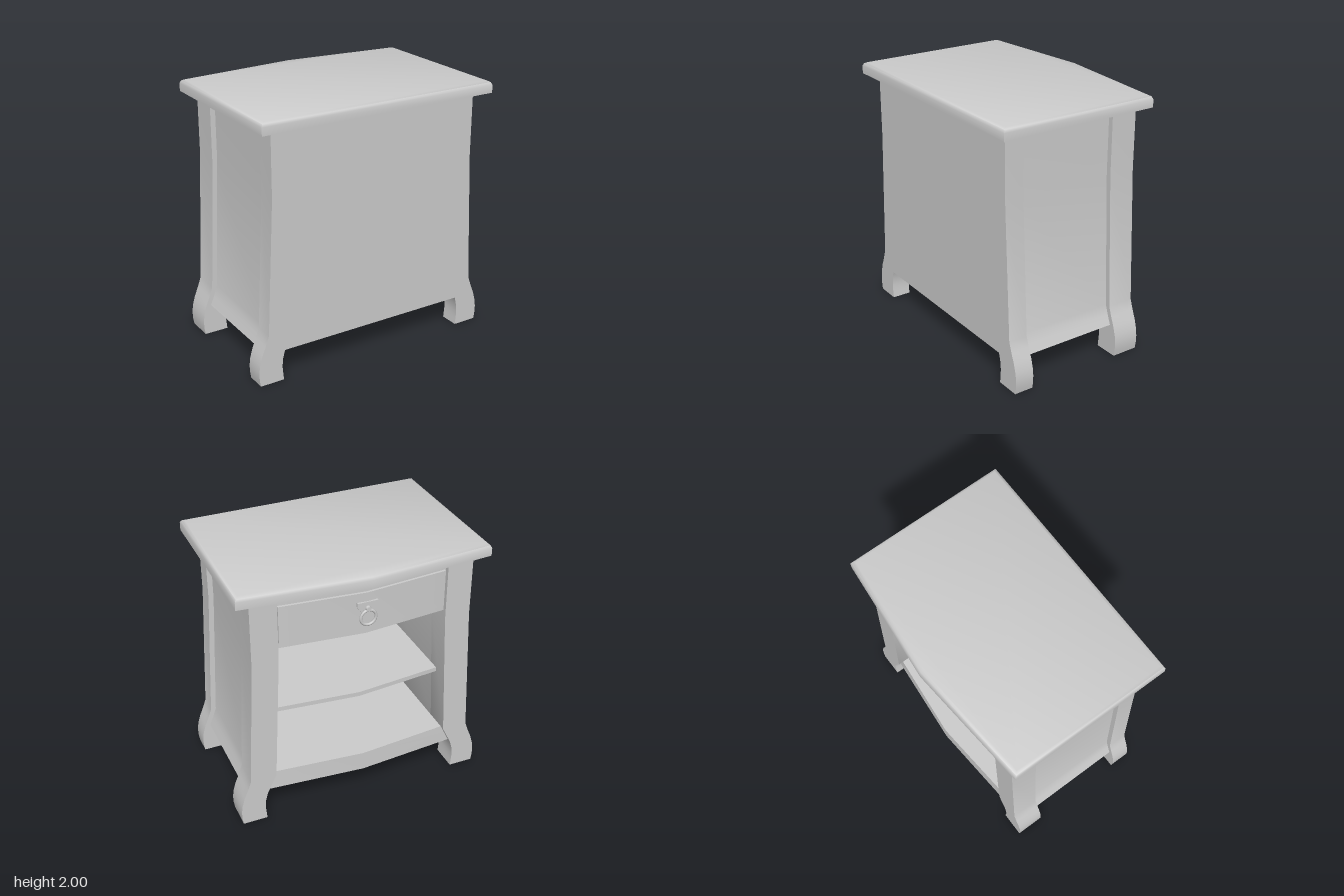
import * as THREE from 'three';
import { toCreasedNormals } from 'three/addons/utils/BufferGeometryUtils.js';

const material = new THREE.MeshStandardMaterial({ color: 0xcccccc, side: THREE.DoubleSide });

// Skin a stack of equal rings (lists of [x, y, z]), bottom to top
function loft(rings, { top = true, bottom = true, crease = 0.6 } = {}) {
  const n = rings[0].length;
  const index = [];
  for (let r = 0; r < rings.length - 1; r++) {
    for (let i = 0; i < n; i++) {
      const a = r * n + i, b = r * n + (i + 1) % n;
      index.push(a, a + n, b + n, a, b + n, b);
    }
  }
  const last = (rings.length - 1) * n;
  for (let i = 1; i < n - 1; i++) {
    if (top) index.push(last, last + i + 1, last + i);
    if (bottom) index.push(0, i, i + 1);
  }
  const geometry = new THREE.BufferGeometry();
  geometry.setAttribute('position', new THREE.Float32BufferAttribute(rings.flat(2), 3));
  geometry.setIndex(index);
  return toCreasedNormals(geometry, crease);
}

// Side outline of the case: [y, outer x, inner x]
const outline = [
  [0, 0.975, 0.785], [0.05, 0.983, 0.79], [0.11, 0.985, 0.795], [0.17, 0.977, 0.79],
  [0.24, 0.957, 0.772], [0.31, 0.928, 0.738], [0.39, 0.9, 0.7], [1.42, 0.85, 0.65], [1.91, 0.85, 0.65],
];
const upper = outline.filter(([y]) => y >= 0.24);

// Upright with a rectangular section following the outline on one side
function upright(points, side, z0, z1, inset, bottom) {
  const rings = points.map(([y, outer, inner]) => {
    const o = side * (outer - inset), i = side * inner;
    const ring = [[i, y, z0], [o, y, z0], [o, y, z1], [i, y, z1]];
    return side > 0 ? ring : ring.reverse();
  });
  return loft(rings, { bottom });
}

// Ring with a bowed edge towards -z
const bowedRing = (y, half, zEnd, zMid, zBack) => [
  [-half, y, zEnd], [0, y, zMid], [half, y, zEnd], [half, y, zBack], [-half, y, zBack],
];
const bowedBoard = (y0, y1, half, zEnd, zMid, zBack, half0 = half) =>
  loft([bowedRing(y0, half0, zEnd, zMid, zBack), bowedRing(y1, half, zEnd, zMid, zBack)]);

export function createModel() {
  const model = new THREE.Group();
  const add = (name, geometry, parent = model) => {
    const mesh = new THREE.Mesh(geometry, material);
    mesh.name = name;
    parent.add(mesh);
    return mesh;
  };

  // Table top with a bevelled upper edge
  add('tableTop', loft([
    bowedRing(1.91, 0.96, -0.59, -0.675, 0.675),
    bowedRing(1.97, 0.96, -0.59, -0.675, 0.675),
    bowedRing(1.99, 0.95, -0.58, -0.665, 0.665),
    bowedRing(2, 0.93, -0.56, -0.645, 0.645),
  ], { crease: 1.2 }));

  // Curved legs, open underneath, and the recessed sides between them
  for (const side of [1, -1]) {
    const hand = side > 0 ? 'left' : 'right';
    add(hand + 'DrawerSideLeg', upright(outline, side, -0.53, -0.32, 0, false));
    add(hand + 'PanelSideLeg', upright(outline, side, 0.44, 0.59, 0, false));
    add(hand + 'SidePanel', upright(upper, side, -0.32, 0.44, 0.04, true));
  }

  // Closed panel, flush with the legs
  add('closedPanel', loft(upper.map(([y, , x]) =>
    [[-x, y, 0.55], [x, y, 0.55], [x, y, 0.59], [-x, y, 0.59]])));

  // Shelves and the apron below the lowest one
  add('bottomShelf', bowedBoard(0.36, 0.39, 0.7, -0.49, -0.553, 0.55));
  add('middleShelf', bowedBoard(0.87, 0.905, 0.676, -0.4, -0.465, 0.55));
  const apronRing = (y, half) => [
    [-half, y, -0.492], [0, y, -0.555], [half, y, -0.492],
    [half, y, -0.46], [0, y, -0.523], [-half, y, -0.46],
  ];
  const apronRings = [apronRing(0.24, 0.772), apronRing(0.31, 0.738), apronRing(0.39, 0.7)];
  add('apron', loft(apronRings, { top: false, bottom: false }));
  // Underside of the apron as a bent strip
  const [a, b, c, d, e, f] = apronRings[0];
  const strip = new THREE.BufferGeometry();
  strip.setAttribute('position', new THREE.Float32BufferAttribute([a, b, e, a, e, f, b, c, d, b, d, e].flat(), 3));
  strip.computeVertexNormals();
  add('apronUnderside', strip);

  // Drawer case and raised drawer face
  add('drawerCase', bowedBoard(1.48, 1.91, 0.65, -0.495, -0.555, 0.55));
  add('drawerFace', bowedBoard(1.53, 1.82, 0.64, -0.515, -0.573, -0.4));

  // Drawer pull: plate, knob and hanging ring
  const pull = new THREE.Group();
  pull.name = 'drawerPull';
  pull.position.set(0, 1.7, -0.573);
  model.add(pull);
  const plate = new THREE.Shape([
    [-0.08, 0.05], [-0.08, 0.02], [-0.045, -0.04], [0.045, -0.04], [0.08, 0.02], [0.08, 0.05],
  ].map(([x, y]) => new THREE.Vector2(x, y)));
  add('pullPlate', new THREE.ExtrudeGeometry(plate, { depth: 0.02, bevelEnabled: false }), pull).position.z = -0.01;
  const knob = add('pullKnob', new THREE.CylinderGeometry(0.018, 0.022, 0.03, 12), pull);
  knob.rotation.x = -Math.PI / 2;
  knob.position.z = -0.015;
  add('pullRing', new THREE.TorusGeometry(0.058, 0.011, 8, 28), pull).position.set(0, -0.07, -0.018);

  return model;
}
